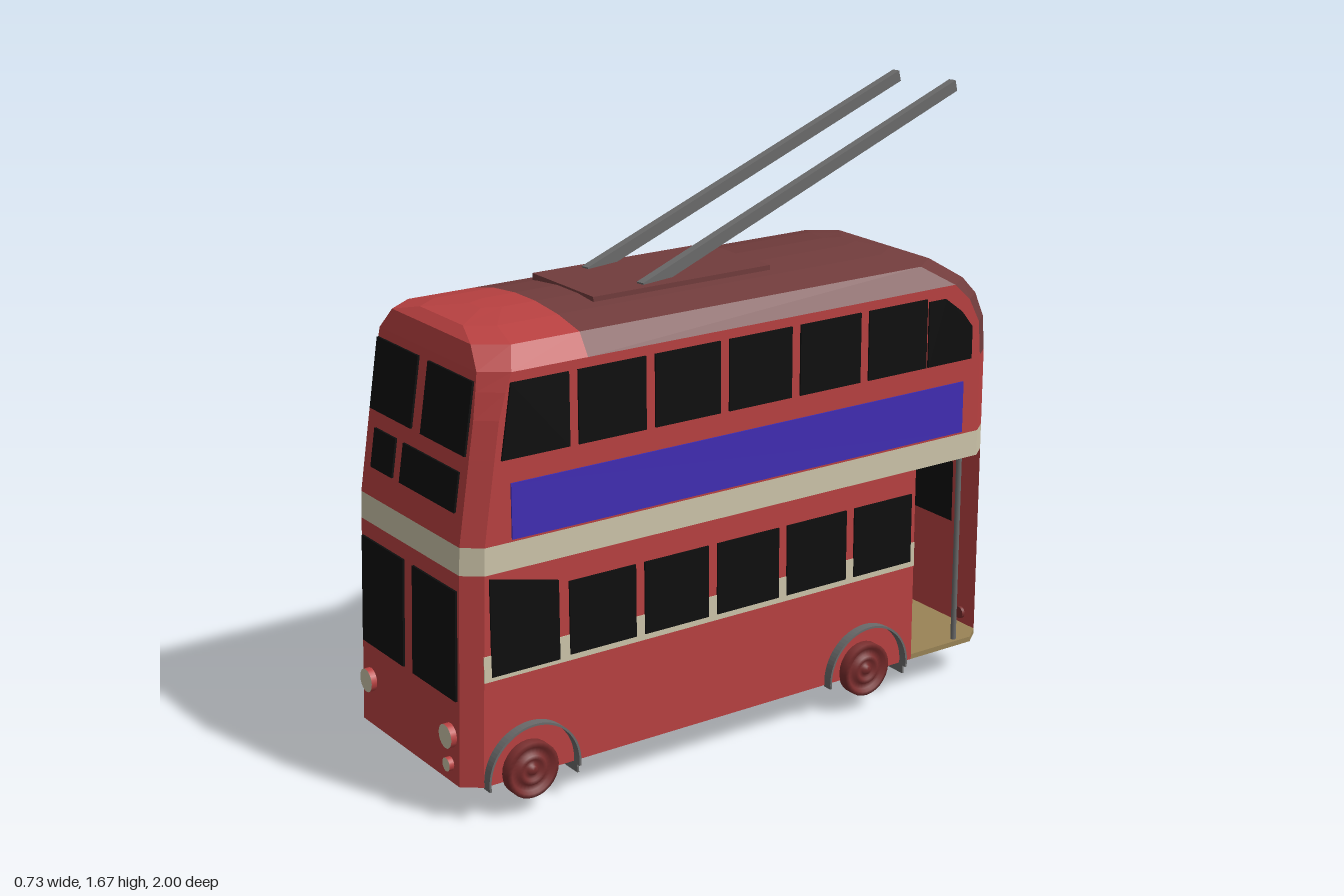
import * as THREE from 'three';

const mat = (name, color) => Object.assign(new THREE.MeshStandardMaterial({ color }), { name });
const CX = 0.035, RIGHT = 0.335, LEFT = -0.265; // body centre and side planes

export function createModel() {
  const bus = new THREE.Group();
  bus.name = 'trolleyBus';
  const red = mat('bodyRed', 0xb94141), roofRed = mat('roofBrown', 0x713c3c);
  const cream = mat('cream', 0xcdc5aa), black = mat('windowBlack', 0x0e0e0e);
  const blue = mat('panelBlue', 0x412db4), yellow = mat('panelYellow', 0x9c8a12);
  const grey = mat('metalGrey', 0x6a6a6a), tyreGrey = mat('tyreGrey', 0x444444);
  const hubRed = mat('hubRed', 0x782c2c), tan = mat('platformTan', 0x9a8456);
  const roofIn = mat('wallRed', 0xb94141);
  roofIn.side = THREE.DoubleSide;

  const add = (name, geometry, material, x = 0, y = 0, z = 0) => {
    const m = new THREE.Mesh(geometry, material);
    m.name = name;
    m.position.set(x, y, z);
    bus.add(m);
    return m;
  };

  // Plan outline at one height: chamfered rectangle with a seam at z = 0.6
  const ring = (y, hw, zf, zb, c = 0.04, cz = 0.05, rear = 1) => {
    const half = [[hw - c, zf], [hw, zf - cz], [hw, 0.6], [hw, zb + cz * rear], [hw - c * rear, zb]];
    return [...half, ...half.map(([x, z]) => [-x, z]).reverse()].map(([x, z]) => [x + CX, y, z]);
  };
  const flatMesh = (name, tris, material) => {
    const g = new THREE.BufferGeometry();
    g.setAttribute('position', new THREE.Float32BufferAttribute(tris.flat(), 3));
    g.computeVertexNormals();
    return add(name, g, material);
  };
  const skin = (rings, pick = () => true) => {
    const t = [];
    for (let i = 0; i + 1 < rings.length; i++) {
      for (let s = 0; s < 10; s++) {
        if (!pick(rings[i][0][1], s)) continue;
        const a = rings[i][s], b = rings[i][(s + 1) % 10];
        const c = rings[i + 1][(s + 1) % 10], d = rings[i + 1][s];
        t.push(a, b, c, a, c, d);
      }
    }
    return t;
  };
  const fan = (pts, down) => {
    const t = [];
    for (let i = 1; i + 1 < pts.length; i++) t.push(pts[0], down ? pts[i + 1] : pts[i], down ? pts[i] : pts[i + 1]);
    return t;
  };

  // Lower saloon, closed ahead of the rear platform
  const low = [ring(0.1, 0.3, 0.988, -0.49, 0.04, 0.05, 0), ring(0.68, 0.3, 0.968, -0.49, 0.04, 0.05, 0)];
  flatMesh('lowerBody', [...skin(low), ...fan(low[0], true)], red);

  // Cream belt, upper deck and domed roof
  const belt = [ring(0.68, 0.3, 0.968, -0.765), ring(0.755, 0.3, 0.965, -0.765)];
  flatMesh('belt', skin(belt), cream);
  flatMesh('platformCeiling', fan(belt[0], true), red);
  const upper = [
    belt[1],
    ring(0.98, 0.3, 0.93, -0.765),
    ring(1.08, 0.3, 0.914, -0.757),
    ring(1.15, 0.3, 0.903, -0.73, 0.045, 0.06),
    ring(1.2, 0.3, 0.895, -0.685, 0.05, 0.07),
    ring(1.258, 0.262, 0.882, -0.6, 0.06, 0.08),
    ring(1.28, 0.16, 0.85, -0.53, 0.05, 0.07),
    ring(1.291, 0.05, 0.75, -0.47, 0.02, 0.05),
  ];
  const isRoof = (y, s) => (y >= 1.2 && s >= 2 && s <= 6) || (y >= 0.98 && s >= 3 && s <= 5);
  const top = upper[upper.length - 1];
  flatMesh('upperBody', [...skin(upper, (y, s) => !isRoof(y, s)),
    ...fan([top[0], top[1], top[2], top[7], top[8], top[9]])], red);
  flatMesh('roof', [...skin(upper, isRoof), ...fan(top.slice(2, 8))], roofRed);

  // Rear platform: floor, wrap-round wall and grab pole
  const deck = [ring(0.1, 0.3, 0.7, -0.765), ring(0.115, 0.3, 0.7, -0.765)].map(r =>
    r.map(([x, y, z]) => [x, y, Math.min(z, -0.49)]));
  flatMesh('platformFloor', [...skin(deck), ...fan(deck[0], true), ...fan(deck[1])], tan);
  const wall = [ring(0.1, 0.3, 0.97, -0.765), ring(0.68, 0.3, 0.97, -0.765)].map(r =>
    r.map(([x, y, z]) => [x, y, Math.min(z, -0.49)]));
  flatMesh('rearWall', skin(wall, (y, s) => s >= 4 && s <= 6), roofIn);
  add('grabPole', new THREE.CylinderGeometry(0.008, 0.008, 0.58, 8), grey, 0.318, 0.39, -0.665);

  // Thin plates that follow the sides, the sloping front and the curved back
  const slab = (pts, t) => new THREE.ExtrudeGeometry(
    new THREE.Shape(pts.map(p => new THREE.Vector2(...p))), { depth: t, bevelEnabled: false });
  const rect = (a, b, lo, hi) => [[a, lo], [b, lo], [b, hi], [a, hi]];
  const sidePlate = (name, pts, material, x, t = 0.005) =>
    add(name, slab(pts, t).rotateY(-Math.PI / 2), material, x > 0 ? x + t : x);
  const along = table => y => {
    let i = 1;
    while (i < table.length - 1 && y > table[i][0]) i++;
    const [y0, z0] = table[i - 1], [y1, z1] = table[i];
    return z0 + (z1 - z0) * (y - y0) / (y1 - y0);
  };
  const frontZ = along([[0.1, 0.988], [0.68, 0.968], [0.755, 0.965], [1.2, 0.895]]);
  const backZ = along([[0.1, -0.765], [0.98, -0.765], [1.08, -0.757], [1.15, -0.73], [1.2, -0.685]]);
  const endPlate = (name, pts, front) => {
    const t = 0.006, g = slab(pts, t), p = g.attributes.position;
    for (let i = 0; i < p.count; i++) {
      p.setZ(i, p.getZ(i) + (front ? frontZ(p.getY(i)) : backZ(p.getY(i)) - t));
    }
    g.computeVertexNormals();
    add(name, g, black);
  };

  // Side windows, waist strips and panels
  for (const x of [RIGHT, LEFT]) {
    sidePlate('upperWindow', [[0.862, 0.976], [0.66, 0.976], [0.66, 1.174], [0.83, 1.174]].reverse(), black, x);
    for (let i = 0; i < 5; i++) {
      const z = 0.633 - i * 0.235;
      sidePlate('upperWindow', rect(z - 0.206, z, 0.976, 1.174), black, x);
    }
    sidePlate('upperRearWindow', [[-0.52, 0.976], [-0.52, 1.165], [-0.58, 1.165], [-0.64, 1.12], [-0.68, 1.07], [-0.68, 0.976]], black, x);
    sidePlate('lowerFrontWindow', [[0.906, 0.402], [0.906, 0.67], [0.702, 0.622], [0.702, 0.402]], black, x);
    for (let i = 0; i < 5; i++) {
      const z = 0.67 - i * 0.2345;
      sidePlate('lowerWindow', rect(z - 0.206, z, 0.407, 0.611), black, x);
    }
    sidePlate('waistStrip', rect(x > 0 ? -0.49 : -0.712, 0.928, 0.39, 0.462), cream, x, 0.002);
    sidePlate('sidePanel', rect(-0.654, 0.836, 0.762, 0.912), x > 0 ? blue : yellow, x, 0.004);
  }
  sidePlate('innerStrip', rect(-0.712, -0.492, 0.39, 0.462), cream, -0.261, 0.002);

  // Front windows
  for (const [a, b, lo, hi] of [
    [-0.215, 0.005, 0.985, 1.175], [0.055, 0.28, 0.985, 1.175],
    [-0.18, -0.065, 0.835, 0.94], [-0.025, 0.26, 0.835, 0.94],
    [-0.215, 0.01, 0.335, 0.635], [0.06, 0.285, 0.335, 0.635],
  ]) endPlate('frontWindow', rect(a, b, lo, hi), true);

  // Rear windows, the top one bent over the dome
  endPlate('rearWindow', rect(0.14, 0.25, 0.825, 0.93), false);
  endPlate('rearWindow', rect(-0.17, 0.11, 0.825, 0.93), false);
  endPlate('rearWindow', rect(-0.17, 0.18, 0.42, 0.605), false);
  endPlate('rearTopWindow', [[-0.09, 1.0], [0.15, 1.0], [0.185, 1.04], [0.185, 1.08], [-0.125, 1.08], [-0.125, 1.04]], false);
  endPlate('rearTopWindow', rect(-0.125, 0.185, 1.08, 1.145), false);

  // Lamps
  const lamp = (name, x, y, z, r, materials) =>
    add(name, new THREE.CylinderGeometry(r, r, 0.024, 20).rotateX(Math.PI / 2), materials, x, y, z);
  for (const [x, y, r] of [[-0.18, 0.23, 0.033], [0.25, 0.23, 0.033], [0.25, 0.15, 0.019]]) {
    lamp('headlight', x, y, 0.988, r, [red, cream, red]);
  }
  for (const x of [-0.19, 0.235]) lamp('tailLight', x, 0.148, -0.768, 0.018, hubRed);

  // Wheels, arches and cross bars
  const lathe = pts => new THREE.LatheGeometry(pts.map(p => new THREE.Vector2(...p)), 28).rotateZ(-Math.PI / 2);
  const hubGeo = lathe([[0.078, -0.03], [0.078, 0.0], [0.066, 0.003], [0.06, -0.008], [0.045, -0.008],
    [0.041, 0.001], [0.03, 0.001], [0.026, -0.005], [0.014, -0.005], [0.012, 0.003], [0, 0.003]]);
  const tyreGeo = lathe([[0.07, -0.07], [0.112, -0.07], [0.122, -0.06], [0.122, -0.01], [0.112, 0], [0.078, 0], [0.074, -0.02]]);
  const arc = new THREE.Shape();
  arc.absarc(0, 0, 0.14, -0.12, Math.PI + 0.12, false);
  arc.absarc(0, 0, 0.134, Math.PI + 0.12, -0.12, true);
  const archGeo = new THREE.ExtrudeGeometry(arc, { depth: 0.03, bevelEnabled: false, curveSegments: 20 }).rotateY(-Math.PI / 2);
  for (const z of [0.805, -0.305]) {
    add('rightHub', hubGeo, hubRed, 0.362, 0.123, z);
    add('leftHub', hubGeo, hubRed, -0.282, 0.123, z).rotation.y = Math.PI;
    add('leftTyre', tyreGeo, tyreGrey, -0.286, 0.122, z).rotation.y = Math.PI;
    add('rightArch', archGeo, grey, 0.362, 0.112, z - 0.008);
    add('leftArch', archGeo, grey, -0.256, 0.112, z - 0.008);
    add('crossBar', new THREE.BoxGeometry(0.6, 0.032, 0.006), grey, 0.045, 0.085, z - 0.148);
  }

  // Roof plinth and trolley poles
  add('roofPlinth', new THREE.BoxGeometry(0.3, 0.03, 0.57), roofRed, 0.01, 1.282, 0.185);
  for (const [x0, z0, x1, z1] of [[-0.1, 0.325, -0.357, -0.962], [0.122, 0.295, -0.135, -0.994]]) {
    const a = new THREE.Vector3(x0, 1.285, z0), b = new THREE.Vector3(x1, 1.65, z1);
    const pole = add('trolleyPole', new THREE.BoxGeometry(0.024, 0.034, a.distanceTo(b)), grey);
    pole.position.copy(a).lerp(b, 0.5);
    pole.lookAt(b);
  }
  return bus;
}
